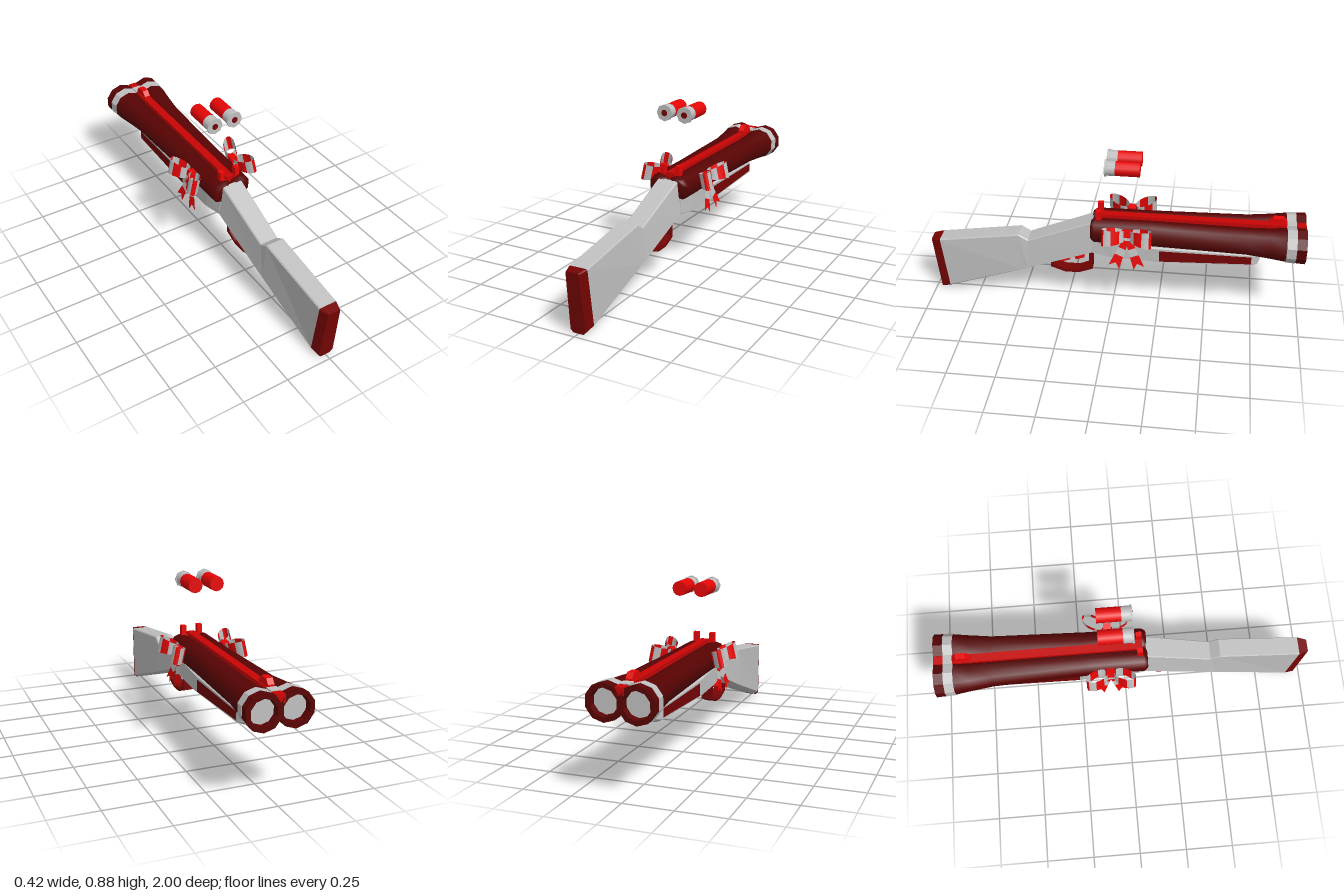
import * as THREE from 'three';
import { mergeVertices } from 'three/addons/utils/BufferGeometryUtils.js';

const mat = (name, color, extra = {}) => {
  const m = new THREE.MeshStandardMaterial({ color, ...extra });
  m.name = name;
  return m;
};

// Skin a list of closed rings ordered from +z to -z, each counter-clockwise seen from +z
function loft(rings, { capStart = true, capEnd = true, smooth = false } = {}) {
  const pos = [], n = rings[0].length;
  const tri = (a, b, c) => pos.push(...a, ...b, ...c);
  for (let i = 0; i < rings.length - 1; i++) {
    for (let j = 0; j < n; j++) {
      const k = (j + 1) % n, a = rings[i][j], b = rings[i][k], c = rings[i + 1][k], d = rings[i + 1][j];
      tri(a, d, b);
      tri(b, d, c);
    }
  }
  const first = rings[0], last = rings[rings.length - 1];
  for (let j = 1; j < n - 1; j++) {
    if (capStart) tri(first[0], first[j], first[j + 1]);
    if (capEnd) tri(last[0], last[j + 1], last[j]);
  }
  let g = new THREE.BufferGeometry();
  g.setAttribute('position', new THREE.Float32BufferAttribute(pos, 3));
  if (smooth) g = mergeVertices(g);
  g.computeVertexNormals();
  return g;
}

// Eight-sided wood section: top z/y, bottom z/y, top and bottom half widths, chamfer height
function section([zT, yT, zB, yB, wT, wB, c = 0.015]) {
  const half = [[wB * 0.65, yB], [wB, yB + c], [wT, yT - c * 0.4], [wT * 0.9, yT]];
  const all = [...half, ...half.slice().reverse().map(([x, y]) => [-x, y])];
  return all.map(([x, y]) => [x, y, zB + (zT - zB) * (y - yB) / (yT - yB)]);
}

// Ten-sided barrel section
function circle([z, cx, r]) {
  return Array.from({ length: 10 }, (_, i) => {
    const a = (i + 0.5) / 10 * Math.PI * 2;
    return [cx + r * Math.cos(a), 0.455 + r * Math.sin(a), z];
  });
}

// Side outline of [z, y] points, given a thickness along x and centred on it
function sidePlate(points, width) {
  const shape = new THREE.Shape(points.map(([z, y]) => new THREE.Vector2(-z, y)));
  return new THREE.ExtrudeGeometry(shape, { depth: width, bevelEnabled: false })
    .translate(0, 0, -width / 2).rotateY(Math.PI / 2);
}

export function createModel() {
  const model = new THREE.Group();
  model.name = 'doubleBarrelGun';
  const barrelRed = mat('barrelRed', 0x580303);
  const darkRed = mat('darkRed', 0x760404);
  const railRed = mat('railRed', 0xc80404);
  const red = mat('brightRed', 0xec0606, { side: THREE.DoubleSide });
  const grey = mat('lightGrey', 0xc0c0c0, { side: THREE.DoubleSide });

  const add = (name, geo, material, parent = model, p = [0, 0, 0]) => {
    const m = new THREE.Mesh(geo, material);
    m.name = name;
    m.position.set(...p);
    parent.add(m);
    return m;
  };
  const box = (name, w, h, d, material, p, parent) => add(name, new THREE.BoxGeometry(w, h, d), material, parent, p);

  // Stock, butt plate and fore-end
  add('stock', loft([
    [0.95, 0.325, 0.915, 0.017, 0.05, 0.054],
    [0.51, 0.39, 0.50, 0.163, 0.052, 0.066],
    [0.46, 0.36, 0.46, 0.178, 0.052, 0.068],
    [0.11, 0.50, 0.11, 0.31, 0.058, 0.077],
  ].map(section)), grey);
  add('buttPlate', loft([
    [1.0, 0.318, 0.965, 0.0, 0.035, 0.042],
    [0.95, 0.325, 0.915, 0.017, 0.05, 0.054],
  ].map(section)), darkRed);
  add('foreEnd', loft([
    [0.11, 0.42, 0.11, 0.31, 0.072, 0.077],
    [0.0, 0.41, 0.0, 0.296, 0.088, 0.09],
    [-0.22, 0.39, -0.22, 0.288, 0.092, 0.092],
    [-0.735, 0.385, -0.735, 0.306, 0.092, 0.092],
    [-0.762, 0.382, -0.762, 0.312, 0.078, 0.078],
    [-0.775, 0.378, -0.775, 0.325, 0.05, 0.05],
  ].map(section)), grey);

  // Barrels with flared muzzles, grey bands and shallow bores
  for (const s of [1, -1]) {
    const side = s > 0 ? 'left' : 'right';
    const ring = ([z, cx, r]) => circle([z, s * cx, r]);
    add(side + 'Barrel', loft([
      [0.115, 0.05, 0.052], [0.095, 0.05, 0.066], [-0.2, 0.05, 0.068],
      [-0.7, 0.066, 0.07], [-0.82, 0.074, 0.078], [-0.9, 0.077, 0.087],
    ].map(ring), { capEnd: false, smooth: true }), barrelRed);
    add(side + 'Band', loft([[-0.9, 0.077, 0.09], [-0.95, 0.078, 0.092]].map(ring)), grey);
    add(side + 'Muzzle', loft([
      [-0.95, 0.078, 0.09], [-1, 0.079, 0.092], [-1, 0.079, 0.068], [-0.965, 0.079, 0.063],
    ].map(ring), { capEnd: false }), barrelRed);
    add(side + 'Bore', loft([[-0.96, 0.079, 0.063], [-0.968, 0.079, 0.063]].map(ring)), grey);

    // Fore-end side panel, nearly flush
    add(side + 'Panel', sidePlate([[-0.25, 0.308], [-0.73, 0.33], [-0.73, 0.372], [-0.25, 0.372]], 0.004),
      darkRed, model, [s * 0.0915, 0, 0]);

    // Rear sight post
    box(side + 'RearSight', 0.026, 0.075, 0.03, red, [s * 0.045, 0.5325, 0.075]);
  }
  box('rearSightBase', 0.116, 0.02, 0.03, railRed, [0, 0.51, 0.075]);
  box('rail', 0.044, 0.04, 1.09, railRed, [0, 0.512, -0.455]);
  box('railBand', 0.05, 0.04, 0.05, grey, [0, 0.516, -0.925]);
  add('frontSight', sidePlate([[-0.9, 0.52], [-0.9, 0.545], [-0.88, 0.57], [-0.83, 0.57], [-0.805, 0.545], [-0.805, 0.52]], 0.032), red);

  // Trigger guard strap and two triggers
  add('triggerGuard', sidePlate([
    [0.345, 0.25], [0.343, 0.185], [0.268, 0.158], [0.19, 0.158], [0.114, 0.188], [0.114, 0.31],
    [0.132, 0.305], [0.132, 0.203], [0.192, 0.177], [0.266, 0.177], [0.326, 0.199], [0.328, 0.255],
  ], 0.06), darkRed);
  for (const [z, y] of [[0.272, 0.248], [0.193, 0.268]]) {
    box('trigger', 0.036, 0.055, 0.05, red, [0, y, z]).rotation.x = 0.35;
  }

  // Floating shells
  for (const x of [-0.058, 0.058]) {
    const shell = new THREE.Group();
    shell.name = 'shell';
    shell.position.set(x, 0.832, 0);
    model.add(shell);
    const drum = (name, r, z1, z2, n, m) => add(name,
      new THREE.CylinderGeometry(r, r, z1 - z2, n).rotateX(Math.PI / 2), m, shell, [0, 0, (z1 + z2) / 2]);
    drum('rim', 0.045, 0.04, 0.028, 8, grey);
    drum('brass', 0.039, 0.028, -0.015, 12, grey);
    drum('hull', 0.038, -0.015, -0.14, 12, red);
    drum('primer', 0.017, 0.042, 0.036, 10, darkRed);
  }

  // Striped ribbon bow, mirrored to both sides
  const ribbons = [red, grey];
  for (const s of [1, -1]) {
    const mirror = new THREE.Group();
    mirror.name = s > 0 ? 'leftBow' : 'rightBow';
    mirror.scale.x = s;
    model.add(mirror);
    const bow = new THREE.Group();
    bow.name = 'bow';
    bow.position.set(0.125, 0.482, -0.085);
    bow.rotation.z = 0.22;
    mirror.add(bow);
    for (const d of [1, -1]) {
      // Loop: an oval band in eight stripes, narrowed towards the knot, with a red stripe on its tip
      const g = new THREE.CylinderGeometry(1, 1, 0.09, 24, 1, true, -Math.PI / 8);
      const p = g.attributes.position;
      for (let i = 0; i < p.count; i++) {
        const z = p.getZ(i);
        p.setXYZ(i, p.getX(i) * 0.032, p.getY(i) * (0.82 + 0.18 * z), z * 0.062);
      }
      g.computeVertexNormals();
      g.clearGroups();
      for (let i = 0; i < 8; i++) g.addGroup(i * 18, 18, i % 2);
      const loop = add('bowLoop', g, ribbons, bow, [0.036, 0, d * 0.072]);
      loop.rotation.y = d > 0 ? 0.5 : Math.PI - 0.5;

      // Tail: three stripes, the last one notched
      const tail = new THREE.Group();
      tail.name = 'bowTail';
      tail.position.set(0.004, -0.01, 0);
      tail.rotation.x = -d * 0.37;
      bow.add(tail);
      const stripe = (pts, m) => add('tailStripe', new THREE.ShapeGeometry(
        new THREE.Shape(pts.map(q => new THREE.Vector2(...q)))).rotateY(Math.PI / 2), m, tail);
      stripe([[-0.014, 0], [0.014, 0], [0.02, -0.07], [-0.02, -0.07]], red);
      stripe([[-0.02, -0.07], [0.02, -0.07], [0.024, -0.112], [-0.024, -0.112]], grey);
      stripe([[-0.024, -0.112], [0.024, -0.112], [0.029, -0.182], [0, -0.155], [-0.029, -0.182]], red);
    }
    box('bowKnot', 0.036, 0.05, 0.04, red, [0.006, 0, 0], bow);
    box('knotStripe', 0.039, 0.014, 0.042, grey, [0.006, -0.016, 0], bow);
  }
  return model;
}
